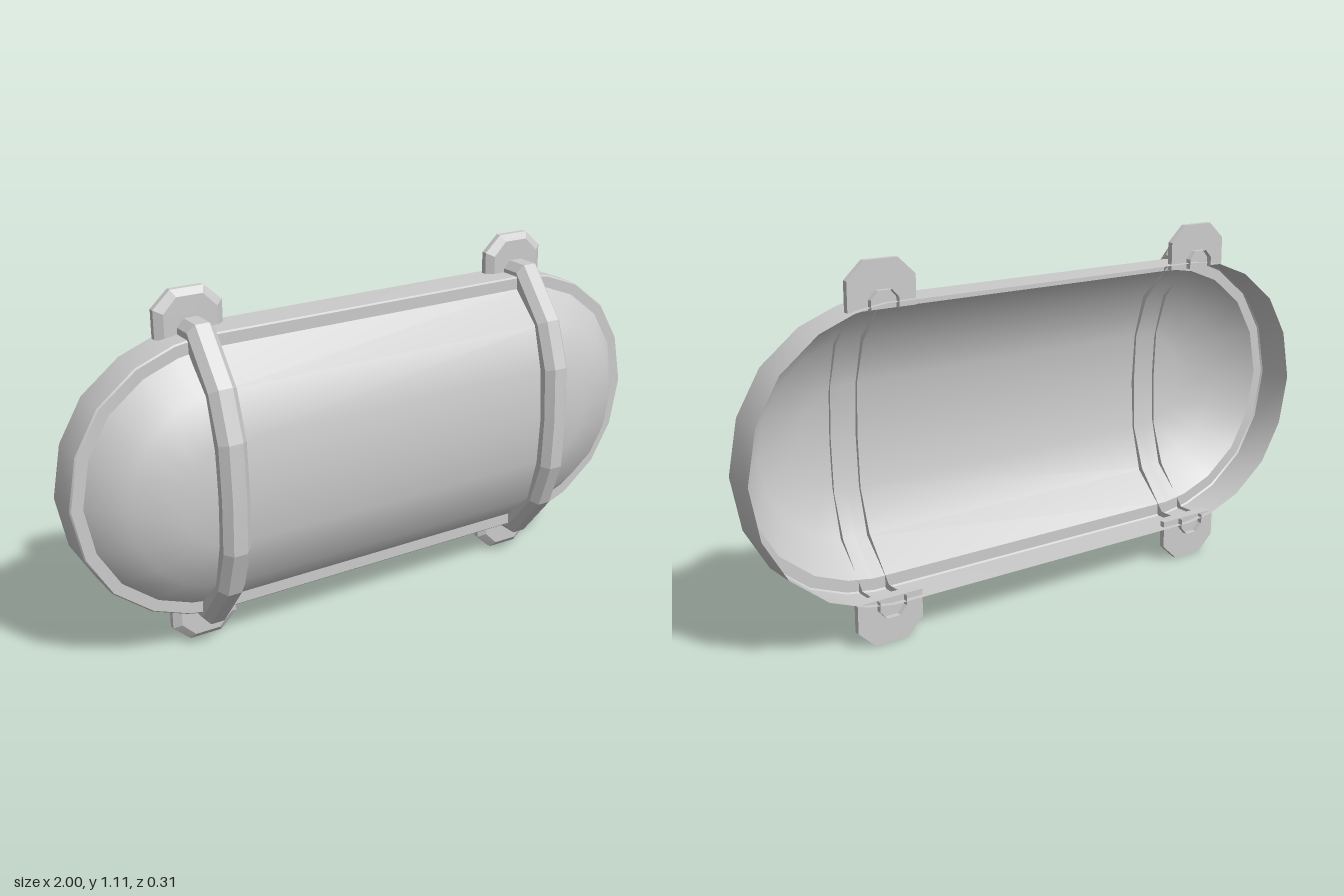
import * as THREE from 'three';
import { toCreasedNormals } from 'three/addons/utils/BufferGeometryUtils.js';

const CY = 0.5535;     // height of the horizontal centre line
const SPINE = 0.57;    // half length of the straight section
const STRAP_X = 0.575;

const material = new THREE.MeshStandardMaterial({ color: 0xcccccc, side: THREE.DoubleSide });

// Skin a list of equal-length rings of Vector3, leaving out collapsed triangles
function loft(rings, closed, crease) {
  const pos = [];
  const tri = new THREE.Triangle();
  const add = (a, b, c) => {
    if (tri.set(a, b, c).getArea() > 1e-7) for (const p of [a, b, c]) pos.push(p.x, p.y, p.z);
  };
  const n = rings[0].length;
  for (let i = 0; i < rings.length - 1; i++) {
    for (let j = 0; j < (closed ? n : n - 1); j++) {
      const k = (j + 1) % n;
      const [a, b, c, d] = [rings[i][j], rings[i][k], rings[i + 1][k], rings[i + 1][j]];
      add(a, b, c);
      add(a, c, d);
    }
  }
  const geometry = new THREE.BufferGeometry();
  geometry.setAttribute('position', new THREE.Float32BufferAttribute(pos, 3));
  return toCreasedNormals(geometry, crease);
}

function part(name, geometry) {
  const mesh = new THREE.Mesh(geometry, material);
  mesh.name = name;
  return mesh;
}

// Open-backed shell: a capsule outline with a rim wall, a ledge and a shallow dome
function shellGeometry() {
  const quarter = [[1, 0], [0.97, 0.157], [0.896, 0.283], [0.778, 0.376], [0.66, 0.421], [SPINE, 0.435]];
  const half = [...quarter, ...quarter.slice(0, -1).map(([x, y]) => [x, -y]).reverse()];
  // right end upward, then left end downward
  const right = [...half.slice(6).map((p) => p), ...half.slice(0, 6)];
  const lower = quarter.slice(1).reverse().map(([x, y]) => [x, -y]);
  const end = [...lower, ...quarter];
  const outline = right.length === end.length ? [...end, ...end.map(([x, y]) => [-x, -y])] : [];
  const levels = [
    [1, -0.155], [1, -0.04], [0.99, -0.035], [0.908, -0.035],
    [0.69, 0.063], [0.36, 0.102], [0, 0.112],
  ];
  const rings = levels.map(([s, z]) => outline.map(([x, y]) => {
    const cx = Math.sign(x) * SPINE;
    return new THREE.Vector3(cx + (x - cx) * s, CY + y * s, z);
  }));
  return loft(rings, true, 0.6);
}

// Chamfered strap following the dome from the top edge to the bottom edge
function strapGeometry() {
  const upper = [[0.471, -0.155], [0.471, -0.03], [0.317, 0.097], [0.17, 0.147]];
  const path = [...upper, [0, 0.155], ...upper.map(([y, z]) => [-y, z]).reverse()]
    .map(([y, z]) => new THREE.Vector2(y, z));
  // half width and depth below the outer face
  const section = [[0.044, 0.054], [0.044, 0.024], [0.022, 0], [-0.022, 0], [-0.044, 0.024], [-0.044, 0.054]];
  const normalOf = (a, b) => new THREE.Vector2(b.y - a.y, a.x - b.x).normalize();
  const rings = path.map((p, i) => {
    const before = normalOf(path[Math.max(i - 1, 0)], path[Math.max(i, 1)]);
    const last = path.length - 1;
    const after = normalOf(path[Math.min(i, last - 1)], path[Math.min(i + 1, last)]);
    const miter = before.clone().add(after).normalize();
    miter.divideScalar(miter.dot(before));
    return section.map(([x, d]) => new THREE.Vector3(x, p.x - miter.x * d, p.y - miter.y * d));
  });
  return loft(rings, false, 0.15);
}

// Mounting tab with cut corners and a bevelled front, relative to the centre line
function tabGeometry() {
  const base = 0.417;
  const outline = [[0.107, 0], [0.107, 0.086], [0.052, 0.1365], [-0.052, 0.1365], [-0.107, 0.086], [-0.107, 0]];
  const ring = (sx, sy, z) => outline.map(([x, y]) => new THREE.Vector3(x * sx, base + y * sy, z));
  const centre = (z) => outline.map(() => new THREE.Vector3(0, base + 0.06, z));
  return loft([
    centre(-0.138), ring(1, 1, -0.138), ring(1, 1, -0.12), ring(0.78, 0.86, -0.103), centre(-0.103),
  ], true, 0.15);
}

export function createModel() {
  const model = new THREE.Group();
  model.name = 'capsuleCover';
  model.add(part('shell', shellGeometry()));

  const strap = strapGeometry();
  const tab = tabGeometry();
  for (const [side, sign] of [['left', 1], ['right', -1]]) {
    const clamp = new THREE.Group();
    clamp.name = side + 'Clamp';
    clamp.position.set(sign * STRAP_X, CY, 0);
    const lowerTab = part(side + 'LowerTab', tab);
    lowerTab.rotation.z = Math.PI;
    clamp.add(part(side + 'Strap', strap), part(side + 'UpperTab', tab), lowerTab);
    model.add(clamp);
  }
  return model;
}
